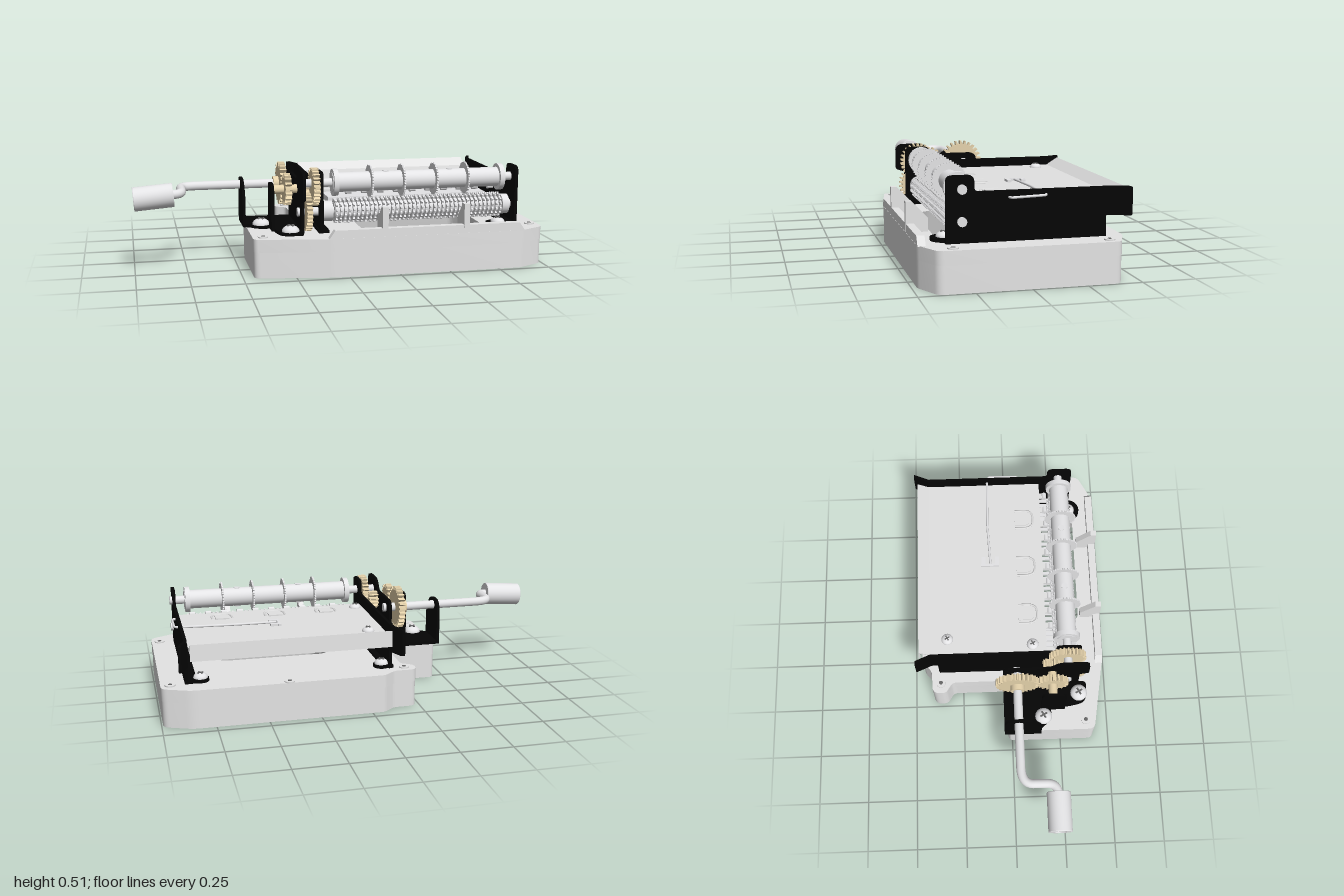
import * as THREE from 'three';
import { toCreasedNormals } from 'three/addons/utils/BufferGeometryUtils.js';

function mat(name, color, side = THREE.FrontSide) {
  const m = new THREE.MeshStandardMaterial({ color, side });
  m.name = name;
  return m;
}

// closed outline with rounded corners; each point is [u, v, radius]
function rounded(points) {
  const s = new THREE.Shape(), n = points.length;
  points.forEach(([x, y, r = 0], i) => {
    const p = new THREE.Vector2(x, y);
    const toward = j => {
      const q = points[(j + n) % n];
      return new THREE.Vector2(q[0] - x, q[1] - y).setLength(r).add(p);
    };
    const a = toward(i - 1), b = toward(i + 1);
    if (i) s.lineTo(a.x, a.y); else s.moveTo(a.x, a.y);
    if (r) s.quadraticCurveTo(x, y, b.x, b.y);
  });
  s.closePath();
  return s;
}

function extrude(shape, depth) {
  return new THREE.ExtrudeGeometry(shape, { depth, bevelEnabled: false, curveSegments: 6 });
}

// horizontal slab from [x, z, radius] points; a hole runs the opposite way round
function slab(points, y, h, hole) {
  const flip = ps => ps.map(([x, z, r]) => [x, -z, r]);
  const s = rounded(flip(points));
  if (hole) s.holes.push(rounded(flip(hole)));
  return extrude(s, h).rotateX(-Math.PI / 2).translate(0, y, 0);
}

// upright plate facing x, from [z, y, radius] points
function plate(points, x, t = 0.015) {
  return extrude(rounded(points.map(([z, y, r]) => [-z, y, r])), t).rotateY(Math.PI / 2).translate(x, 0, 0);
}

// cylinder lying along x
function rod(x0, x1, y, z, r, seg = 28) {
  return new THREE.CylinderGeometry(r, r, x1 - x0, seg).rotateZ(-Math.PI / 2).translate((x0 + x1) / 2, y, z);
}

// toothed wheel facing x
function gear(x, y, z, r, teeth, depth, t) {
  const s = new THREE.Shape();
  for (let i = 0; i < teeth; i++) {
    [[0, r - depth], [0.25, r - depth], [0.4, r], [0.7, r], [0.85, r - depth]].forEach(([f, rad], k) => {
      const a = ((i + f) / teeth) * Math.PI * 2;
      if (i || k) s.lineTo(rad * Math.cos(a), rad * Math.sin(a));
      else s.moveTo(rad, 0);
    });
  }
  s.closePath();
  return extrude(s, t).rotateY(Math.PI / 2).translate(x - t / 2, y, z);
}

export function createModel() {
  const root = new THREE.Group();
  root.name = 'musicBoxMechanism';
  const shell = mat('shellGrey', 0xe4e4e4);
  const steel = mat('steel', 0xe4e4e6, THREE.DoubleSide);
  const sheet = mat('traySheet', 0xe2e2e2);
  const black = mat('blackMetal', 0x050505);
  const brass = mat('brass', 0xe6d3ac);
  const dark = mat('darkSlot', 0x666666);
  const add = (name, geo, m) => {
    const mesh = new THREE.Mesh(geo, m);
    mesh.name = name;
    root.add(mesh);
  };
  const box = (name, m, w, h, d, x, y, z) => add(name, new THREE.BoxGeometry(w, h, d).translate(x, y, z), m);

  // base in two layers, with an opening that narrows upward
  const outline = [[-0.235, -0.405, 0.04], [-0.12, -0.405, 0.02], [-0.06, -0.455, 0.02], [0.86, -0.455, 0.03],
    [0.995, -0.4, 0.03], [0.995, 0.41, 0.03], [0.86, 0.478, 0.02], [-0.08, 0.478, 0.02], [-0.45, 0.418, 0.03],
    [-0.45, -0.02, 0.03], [-0.18, -0.02, 0.02], [-0.18, -0.3, 0.02], [-0.235, -0.335, 0.02]];
  const opening = [[0.04, -0.04, 0.02], [0.04, 0.3, 0.02], [0.11, 0.41, 0.02], [0.78, 0.41, 0.02],
    [0.78, -0.04, 0.02], [0.71, -0.1, 0.02], [0.11, -0.1, 0.02]];
  const baseLayer = (name, y, h, inset) => {
    const g = slab(outline, y, h, opening), p = g.attributes.position;
    for (let i = 0; i < p.count; i++) {
      const x = p.getX(i), z = p.getZ(i);
      const inHole = x > 0 && x < 0.82 && z > -0.2 && z < 0.42;
      const k = inHole ? 1 - 0.9 * p.getY(i) : inset, cx = inHole ? 0.41 : 0.27, cz = inHole ? 0.155 : 0;
      p.setXYZ(i, cx + (x - cx) * k, p.getY(i), cz + (z - cz) * k);
    }
    add(name, toCreasedNormals(g, 0.5), shell);
  };
  baseLayer('baseLower', 0, 0.125, 0.997);
  baseLayer('baseUpper', 0.125, 0.063, 1);

  // raised front rail and its wedge posts
  add('frontRail', extrude(rounded([[-0.1, 0.185], [0.88, 0.185], [0.85, 0.228], [-0.07, 0.228]]), 0.036)
    .translate(0, 0, 0.441), shell);
  for (const x of [0.16, 0.565])
    add('wedgePost', plate([[0.478, 0.19], [0.478, 0.33], [0.45, 0.33], [0.375, 0.25], [0.375, 0.185]], x, 0.028), shell);
  for (const [x, z] of [[-0.18, -0.36], [0.95, -0.36], [-0.4, 0.375], [0.955, 0.34], [0.4, -0.435]]) {
    add('baseBoss', new THREE.CylinderGeometry(0.025, 0.025, 0.008, 20).translate(x, 0.19, z), shell);
    add('bossSocket', new THREE.CylinderGeometry(0.01, 0.01, 0.002, 16).translate(x, 0.194, z), dark);
  }

  // domed cross-head screws
  const screw = (x, y, z, r) => {
    add('screwHead', new THREE.SphereGeometry(r, 20, 6, 0, Math.PI * 2, 0, Math.PI / 2)
      .scale(1, 0.7, 1).translate(x, y, z), steel);
    for (const a of [0.5, 0.5 + Math.PI / 2])
      add('screwSlot', new THREE.BoxGeometry(r * 0.9, 0.004, r * 0.2).rotateY(a).translate(x, y + r * 0.69, z), dark);
  };

  // side plates with flared rear ends and feet
  for (const [x, out, foot] of [[0.867, 1, 0.825], [-0.117, -1, -0.075]]) {
    add('sidePlate', toCreasedNormals(plate([[0.355, 0.19], [0.355, 0.485, 0.03], [0.23, 0.485, 0.03],
      [0.23, 0.413, 0.02], [-0.4, 0.413], [-0.4, 0.283], [-0.368, 0.283], [-0.368, 0.19]], x), 0.5), black);
    const flare = plate([[-0.4, 0.413], [-0.478, 0.413, 0.008], [-0.478, 0.283, 0.008], [-0.4, 0.283]], x);
    const p = flare.attributes.position;
    for (let i = 0; i < p.count; i++) p.setX(i, p.getX(i) + out * 0.42 * (-0.4 - p.getZ(i)));
    flare.computeVertexNormals();
    add('plateFlare', flare, black);
    for (const z of [0.345, -0.325]) {
      const w = z > 0 && out > 0 ? 0.06 : 0.04;
      const cx = out > 0 ? foot - w + 0.02 : foot;
      if (out > 0 || z < 0) {
        add('footTab', new THREE.CylinderGeometry(w, w, 0.016, 24).translate(cx, 0.197, z), black);
        screw(cx, 0.205, z, 0.035);
      }
    }
    box('plateFoot', black, 0.05, 0.015, 0.72, foot + out * 0.025, 0.198, -0.005);
  }

  // paper tray: flat sheet, raised rear lip folded down at the back, rolled front fingers
  const ty = 0.372;
  add('paperTray', plate([[0.185, ty], [-0.4, ty], [-0.458, 0.408], [-0.464, 0.33], [-0.454, 0.33],
    [-0.45, 0.392], [-0.402, 0.36], [0.185, 0.36]], -0.09, 0.95), sheet);
  for (let i = 0; i < 10; i++) {
    const x = 0.05 + i * 0.082;
    box('trayFinger', sheet, 0.028, 0.01, 0.03, x, 0.366, 0.198);
    add('rolledTip', rod(x - 0.015, x + 0.015, 0.364, 0.21, 0.013, 14), steel);
  }
  for (const x of [0.115, 0.38, 0.65]) {
    const path = new THREE.CatmullRomCurve3([[-0.05, 0.05], [-0.047, 0.12], [-0.03, 0.14], [0.03, 0.14],
      [0.047, 0.12], [0.05, 0.05]].map(([a, z]) => new THREE.Vector3(x + a, ty, z)));
    add('springTabRim', new THREE.TubeGeometry(path, 30, 0.006, 6), sheet);
    add('springTab', slab([[x - 0.034, 0.05], [x + 0.034, 0.05], [x + 0.034, 0.125, 0.02], [x - 0.034, 0.125, 0.02]],
      ty - 0.001, 0.007), sheet);
  }
  screw(-0.01, ty, -0.315, 0.03);
  screw(-0.05, ty, 0.115, 0.03);

  // paper-guide wire reaching through the right plate
  const wire = new THREE.CurvePath();
  const wp = [[0.4, 0.38, -0.085], [0.62, 0.384, -0.095], [0.885, 0.388, -0.09], [0.9, 0.388, -0.08],
    [0.9, 0.383, 0.07], [0.87, 0.383, 0.078]].map(a => new THREE.Vector3(...a));
  for (let i = 1; i < wp.length; i++) wire.add(new THREE.LineCurve3(wp[i - 1], wp[i]));
  add('guideWire', new THREE.TubeGeometry(wire, 80, 0.006, 8), steel);
  box('wireClip', steel, 0.012, 0.012, 0.09, 0.39, ty + 0.005, -0.09);
  for (const z of [-0.12, -0.05]) box('wireClip', steel, 0.05, 0.012, 0.02, 0.41, ty + 0.005, z);

  // tuned comb beneath the tray
  box('combBody', steel, 0.84, 0.03, 0.16, 0.4, 0.29, -0.02);
  for (let i = 0; i < 30; i++) box('combTine', steel, 0.016, 0.01, 0.17, -0.025 + i * 0.0285, 0.285, 0.14);

  // feed roller
  const ry = 0.425, az = 0.285;
  add('rollerShaft', rod(-0.2, 0.895, ry, az, 0.021), steel);
  add('rollerBody', rod(-0.05, 0.82, ry, az, 0.048, 36), steel);
  for (const x of [-0.035, 0.805]) add('rollerFlange', rod(x - 0.012, x + 0.012, ry, az, 0.066, 36), steel);
  for (const x of [0.14, 0.3, 0.465, 0.625]) add('feedDisc', gear(x, ry, az, 0.081, 36, 0.004, 0.008), steel);
  for (const x of [0.22, 0.545]) add('rollerBoss', new THREE.CylinderGeometry(0.016, 0.016, 0.1, 16)
    .translate(x, ry, az), steel);

  // star wheels on the lower shaft
  const cy = 0.285;
  add('starShaft', rod(-0.22, 0.895, cy, az, 0.021), steel);
  add('starHub', rod(-0.04, 0.81, cy, az, 0.04), steel);
  for (const [a, b] of [[-0.1, -0.05], [0.815, 0.85]]) add('starCollar', rod(a, b, cy, az, 0.05), steel);
  for (let i = 0; i < 40; i++)
    add('starWheel', gear(-0.033 + i * 0.0214, cy, az, 0.062, 14, 0.009, 0.009), steel);

  // gear bracket: floor, uprights and screw tabs
  add('bracketFloor', toCreasedNormals(slab([[-0.465, -0.04], [-0.2, -0.04], [-0.2, 0.385, 0.02], [-0.31, 0.385, 0.05],
    [-0.33, 0.28, 0.02], [-0.33, 0.2, 0.02], [-0.4, 0.2, 0.04], [-0.44, 0.145, 0.02], [-0.465, 0.145]], 0.189, 0.016), 0.5), black);
  add('crankUpright', toCreasedNormals(plate([[0.145, 0.19], [0.145, 0.34, 0.04], [0.085, 0.42, 0.04],
    [-0.025, 0.42, 0.04], [-0.04, 0.35, 0.02], [-0.04, 0.19]], -0.467, 0.014), 0.5), black);
  add('pinionUpright', toCreasedNormals(plate([[0.27, 0.19], [0.27, 0.42, 0.04], [0.15, 0.42, 0.04],
    [0.15, 0.19]], -0.342, 0.014), 0.5), black);
  add('innerUpright', toCreasedNormals(plate([[0.345, 0.19], [0.345, 0.345, 0.01], [0.39, 0.36, 0.01], [0.39, 0.49, 0.04],
    [0.24, 0.49, 0.03], [0.2, 0.435, 0.02], [-0.04, 0.435, 0.04], [-0.04, 0.19]], -0.208, 0.014), 0.5), black);
  screw(-0.38, 0.205, 0.16, 0.043);
  screw(-0.262, 0.205, 0.345, 0.043);

  // gear train
  add('crankGear', gear(-0.257, 0.385, 0.03, 0.108, 26, 0.018, 0.032), brass);
  add('idlerGear', gear(-0.257, 0.385, 0.205, 0.078, 18, 0.018, 0.032), brass);
  add('idlerPinion', gear(-0.17, 0.385, 0.205, 0.045, 12, 0.014, 0.05), brass);
  add('idlerShaft', rod(-0.335, -0.15, 0.385, 0.205, 0.022), brass);
  add('crankCollar', rod(-0.3, -0.27, 0.385, 0.03, 0.035), brass);
  add('rollerGear', gear(-0.135, 0.408, az, 0.092, 26, 0.015, 0.032), brass);
  add('starGear', gear(-0.17, cy, az, 0.094, 26, 0.015, 0.028), brass);

  // bent crank with a hollow handle
  const crank = new THREE.CurvePath();
  const v = (x, z, y = 0.385) => new THREE.Vector3(x, y, z);
  crank.add(new THREE.LineCurve3(v(-0.18, 0.03), v(-0.68, 0.03)));
  crank.add(new THREE.QuadraticBezierCurve3(v(-0.68, 0.03), v(-0.765, 0.03), v(-0.765, 0.09)));
  crank.add(new THREE.LineCurve3(v(-0.765, 0.09), v(-0.765, 0.15, 0.382)));
  crank.add(new THREE.QuadraticBezierCurve3(v(-0.765, 0.15, 0.382), v(-0.765, 0.205, 0.38), v(-0.82, 0.205, 0.378)));
  add('crankArm', new THREE.TubeGeometry(crank, 90, 0.022, 16), steel);
  add('crankTip', rod(-0.23, -0.18, 0.385, 0.03, 0.022), steel);
  const handle = [[0.02, -0.095], [0.056, -0.095], [0.058, -0.092], [0.058, 0.092], [0.056, 0.095], [0.032, 0.095],
    [0.032, -0.06], [0, -0.06]].map(([r, y]) => new THREE.Vector2(r, y));
  add('crankHandle', toCreasedNormals(new THREE.LatheGeometry(handle, 32), 0.5)
    .rotateZ(Math.PI / 2 + 0.08).translate(-0.902, 0.37, 0.207), steel);

  return root;
}
